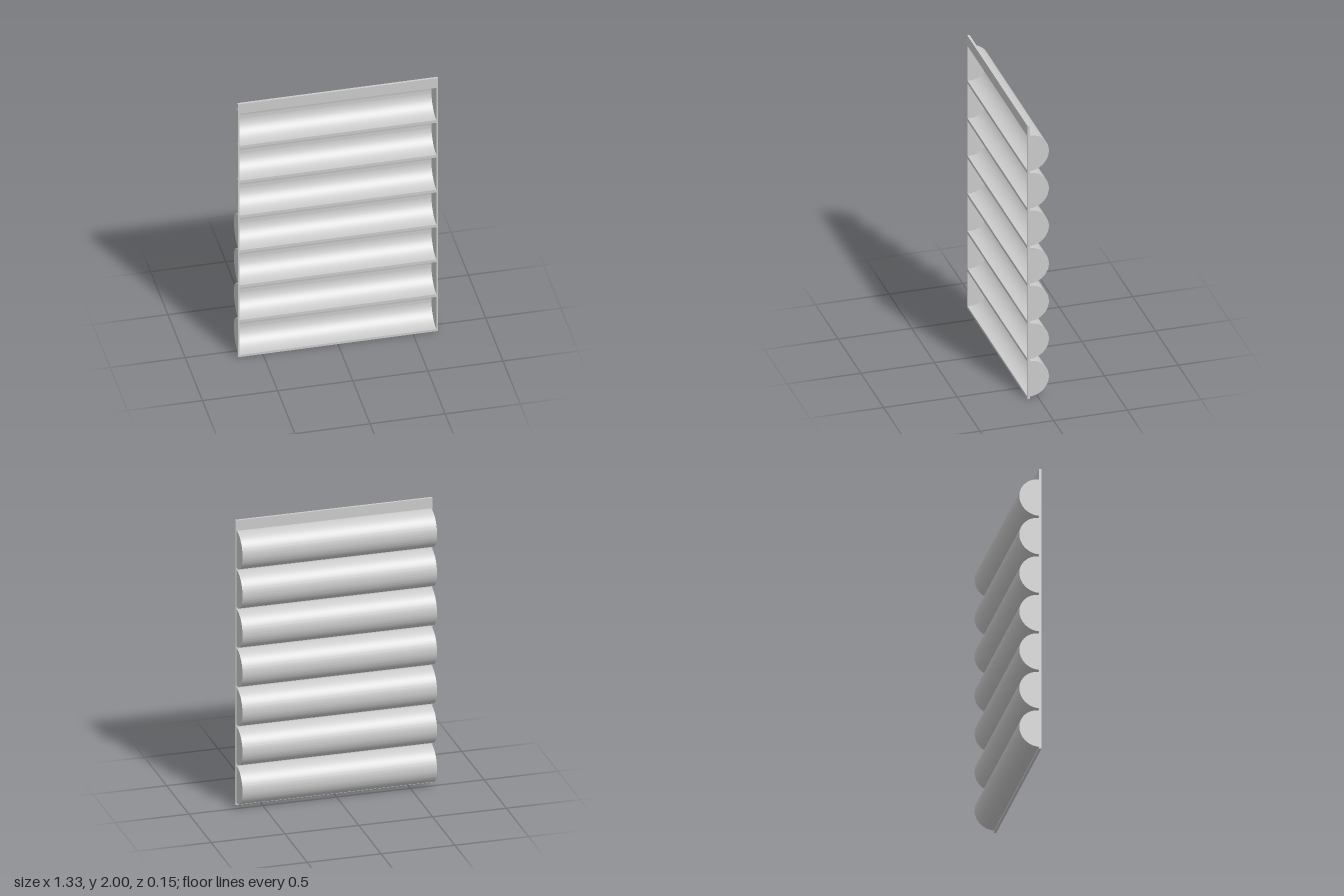
import * as THREE from 'three';
import { toCreasedNormals } from 'three/addons/utils/BufferGeometryUtils.js';

const material = new THREE.MeshStandardMaterial({ color: 0xcccccc });
const COUNT = 7, FIRST_Y = 0.144, PITCH = 0.2755;
const OUTER = 0.13, INNER = 0.127;           // trough radii
const HALF_IN = 0.655, HALF_OUT = 0.659;     // trough half lengths, inside and outside
const PANEL_BACK = 0.057, PANEL_DEPTH = 0.016, PANEL_HALF = 0.666;

// Extrude a profile (drawn with +x toward the back) along the model's x axis.
function extrudeAlongX(shape, x0, x1) {
  const geo = new THREE.ExtrudeGeometry(shape, { depth: x1 - x0, bevelEnabled: false, curveSegments: 40 });
  geo.rotateY(Math.PI / 2).translate(x0, 0, 0);
  return toCreasedNormals(geo, 0.6);
}

function addMesh(parent, name, geo) {
  const mesh = new THREE.Mesh(geo, material);
  mesh.name = name;
  parent.add(mesh);
  return mesh;
}

export function createModel() {
  const group = new THREE.Group();
  group.name = 'troughRack';

  // Face panel with one rectangular opening per trough
  const face = new THREE.Shape([
    new THREE.Vector2(-PANEL_HALF, 0), new THREE.Vector2(PANEL_HALF, 0),
    new THREE.Vector2(PANEL_HALF, 2), new THREE.Vector2(-PANEL_HALF, 2),
  ]);
  for (let i = 0; i < COUNT; i++) {
    const y = FIRST_Y + i * PITCH;
    face.holes.push(new THREE.Path([
      new THREE.Vector2(-HALF_IN, y - INNER), new THREE.Vector2(-HALF_IN, y + INNER),
      new THREE.Vector2(HALF_IN, y + INNER), new THREE.Vector2(HALF_IN, y - INNER),
    ]));
  }
  const panel = new THREE.ExtrudeGeometry(face, { depth: PANEL_DEPTH, bevelEnabled: false });
  addMesh(group, 'facePanel', panel).position.z = PANEL_BACK;

  // Thin half-round shell and half-disc ends shared by every trough
  const shell = new THREE.Shape();
  shell.absarc(0, 0, OUTER, -Math.PI / 2, Math.PI / 2, false);
  shell.absarc(0, 0, INNER, Math.PI / 2, -Math.PI / 2, true);
  const disc = new THREE.Shape();
  disc.absarc(0, 0, OUTER, -Math.PI / 2, Math.PI / 2, false);
  const shellGeo = extrudeAlongX(shell, -HALF_IN, HALF_IN);
  const leftGeo = extrudeAlongX(disc, HALF_IN, HALF_OUT);
  const rightGeo = extrudeAlongX(disc, -HALF_OUT, -HALF_IN);

  for (let i = 0; i < COUNT; i++) {
    const trough = new THREE.Group();
    trough.name = `trough${i + 1}`;
    addMesh(trough, 'halfRoundShell', shellGeo);
    addMesh(trough, 'leftEnd', leftGeo);
    addMesh(trough, 'rightEnd', rightGeo);
    trough.position.set(0, FIRST_Y + i * PITCH, PANEL_BACK);
    group.add(trough);
  }
  return group;
}
